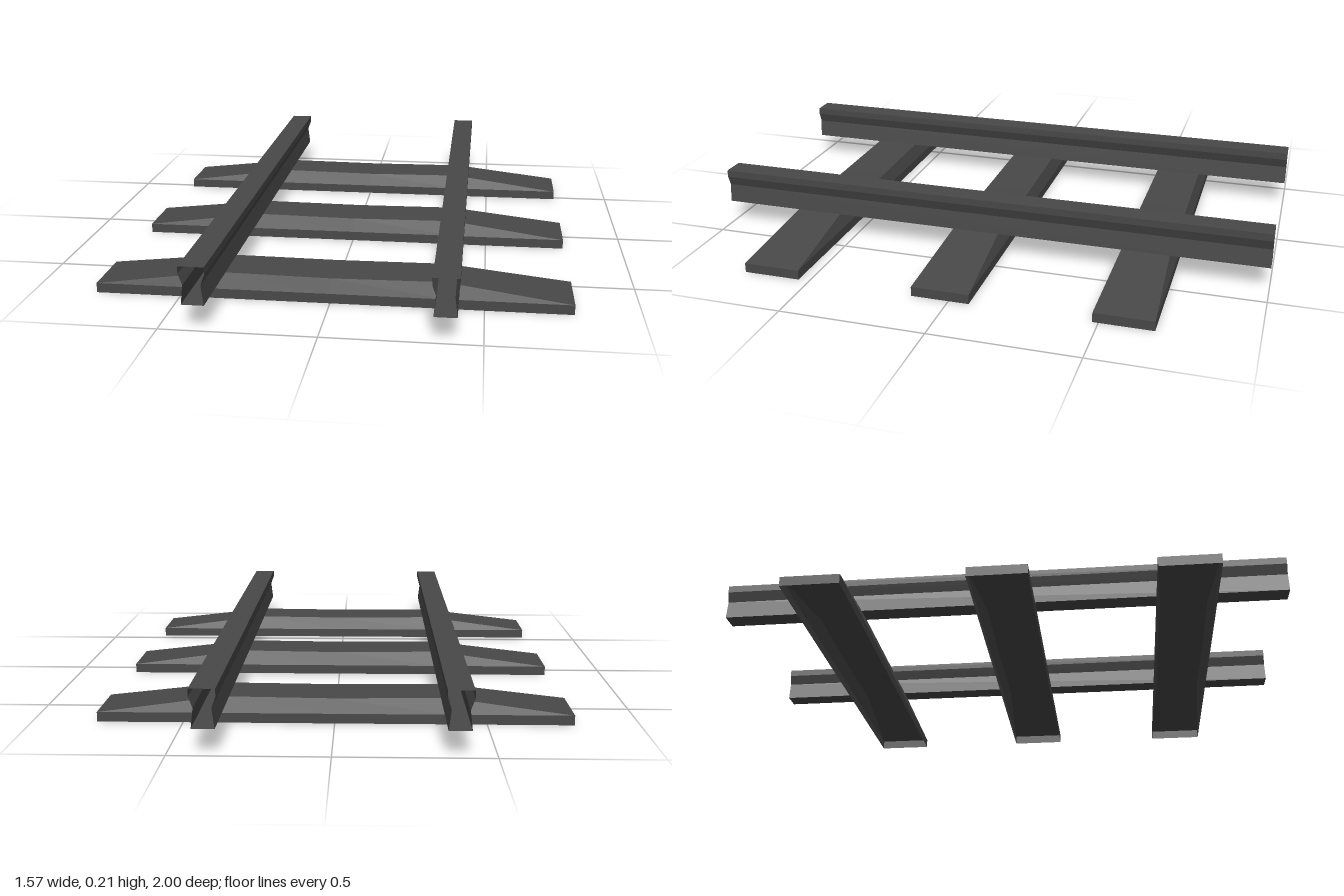
import * as THREE from 'three';

const material = new THREE.MeshStandardMaterial({
  color: 0x484848, flatShading: true, side: THREE.DoubleSide,
});

// Join consecutive cross-sections with flat quads; extra holds further quads.
function loft(rings, closed, extra = []) {
  const pos = [];
  const quad = (a, b, c, d) => pos.push(...a, ...b, ...c, ...a, ...c, ...d);
  for (let i = 0; i < rings.length - 1; i++) {
    const p = rings[i], q = rings[i + 1], n = p.length;
    for (let j = 0; j < (closed ? n : n - 1); j++) {
      const k = (j + 1) % n;
      quad(p[j], p[k], q[k], q[j]);
    }
  }
  extra.forEach((corners) => quad(...corners));
  const geometry = new THREE.BufferGeometry();
  geometry.setAttribute('position', new THREE.Float32BufferAttribute(pos, 3));
  geometry.computeVertexNormals();
  return geometry;
}

// Waisted rail, hollow and open at both ends.
function railGeometry() {
  const half = [[0.036, 0.085], [0.028, 0.15], [0.041, 0.185], [0.041, 0.21]];
  const profile = [...half, ...half.map(([x, y]) => [-x, y]).reverse()];
  return loft([-1, 1].map((z) => profile.map(([x, y]) => [x, y, z])), true);
}

// Sleeper: hollow tray, open underneath, with a low rim and tapered ends.
function sleeperGeometry() {
  const rim = 0.033, w = 0.1;
  const stations = [ // x, top height, top half width
    [-0.785, rim, w], [-0.37, 0.085, 0.082], [0, 0.081, 0.084],
    [0.37, 0.085, 0.082], [0.785, rim, w],
  ];
  const rings = stations.map(([x, top, t]) => [
    [x, 0, -w], [x, rim, -w], [x, top, -t],
    [x, top, t], [x, rim, w], [x, 0, w],
  ]);
  const cap = (r) => [r[0], r[1], r[4], r[5]];
  return loft(rings, false, [cap(rings[0]).reverse(), cap(rings.at(-1))]);
}

export function createModel() {
  const track = new THREE.Group();
  track.name = 'railwayTrack';
  const add = (name, geometry, x, z) => {
    const mesh = new THREE.Mesh(geometry, material);
    mesh.name = name;
    mesh.position.set(x, 0, z);
    track.add(mesh);
  };

  const rail = railGeometry();
  add('leftRail', rail, 0.384, 0);
  add('rightRail', rail, -0.384, 0);

  const sleeper = sleeperGeometry();
  [['frontSleeper', 0.64], ['middleSleeper', 0.03], ['backSleeper', -0.58]]
    .forEach(([name, z]) => add(name, sleeper, 0, z));

  return track;
}
